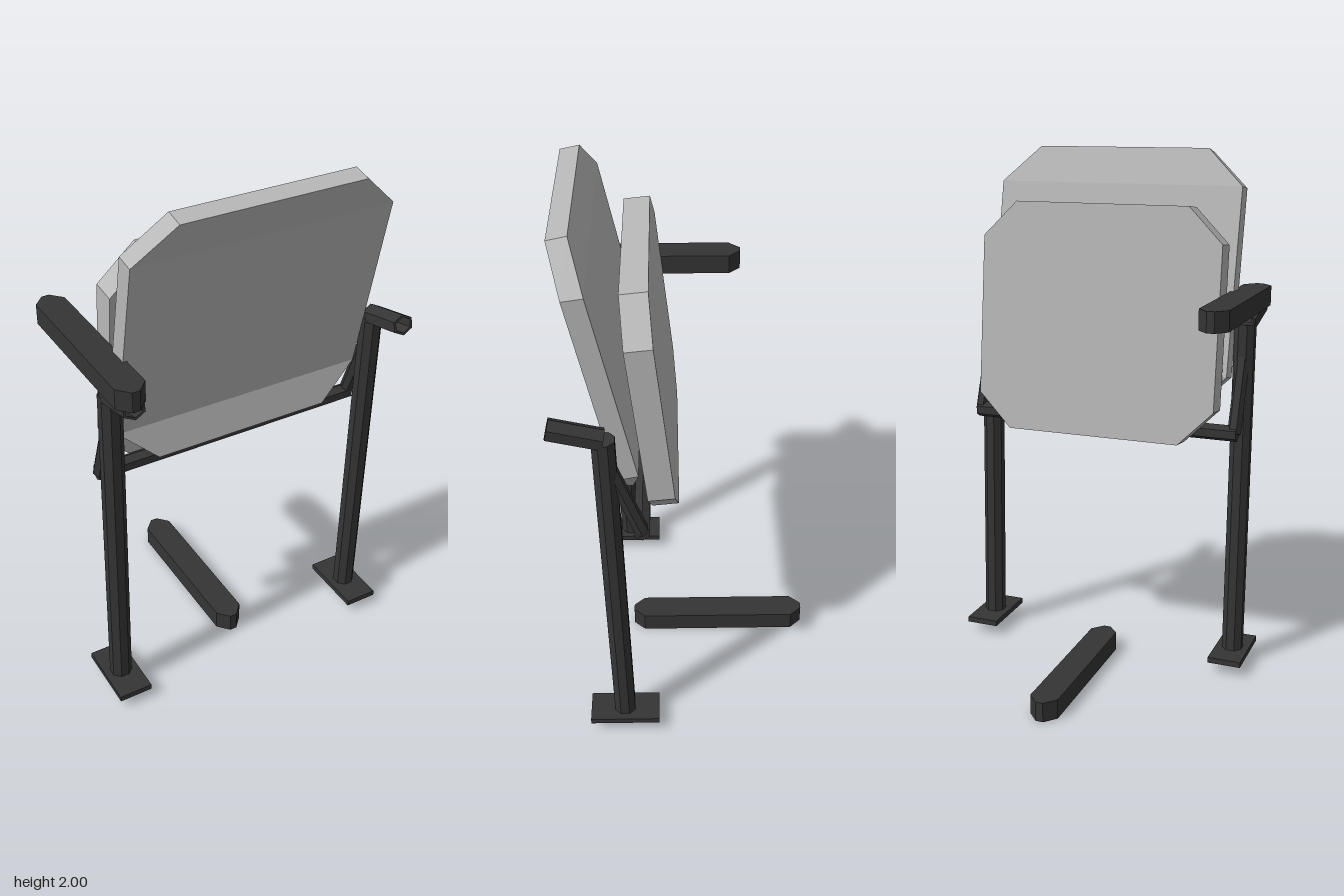
import * as THREE from 'three';

const grey = new THREE.MeshStandardMaterial({ color: 0xb8b8b8, flatShading: true });
grey.name = 'light grey shell';
const dark = new THREE.MeshStandardMaterial({ color: 0x353535, flatShading: true });
dark.name = 'dark frame';

function add(parent, name, geometry, material) {
  const mesh = new THREE.Mesh(geometry, material);
  mesh.name = name;
  parent.add(mesh);
  return mesh;
}

// Flat shape with four cut corners, extruded along z and centred
function cutCornerSlab(hw, hh, tip, cut, depth) {
  const s = new THREE.Shape([
    [tip, -hh], [hw, -hh + cut], [hw, hh - cut], [tip, hh],
    [-tip, hh], [-hw, hh - cut], [-hw, -hh + cut], [-tip, -hh],
  ].map(([x, y]) => new THREE.Vector2(x, y)));
  return new THREE.ExtrudeGeometry(s, { depth, bevelEnabled: false }).translate(0, 0, -depth / 2);
}

// Solid made from rows, top to bottom: [half width, front y, front z, back y, back z]
function rowSolid(rows) {
  const pos = [];
  const loops = rows.map(([w, fy, fz, by, bz]) => [[w, fy, fz], [-w, fy, fz], [-w, by, bz], [w, by, bz]]);
  const quad = (a, b, c, d) => [a, b, c, a, c, d].forEach((p) => pos.push(...p));
  for (let r = 0; r < loops.length - 1; r++) {
    const t = loops[r], l = loops[r + 1];
    for (let i = 0; i < 4; i++) {
      const j = (i + 1) % 4;
      quad(t[i], t[j], l[j], l[i]);
    }
  }
  const top = loops[0], end = loops[loops.length - 1];
  quad(top[3], top[2], top[1], top[0]);
  quad(end[0], end[1], end[2], end[3]);
  const g = new THREE.BufferGeometry();
  g.setAttribute('position', new THREE.Float32BufferAttribute(pos, 3));
  g.computeVertexNormals();
  return g;
}

// Straight faceted bar between two points
function bar(parent, name, from, to, radius, sides) {
  const a = new THREE.Vector3(...from), b = new THREE.Vector3(...to);
  const dir = b.clone().sub(a);
  const g = new THREE.CylinderGeometry(radius, radius, dir.length(), sides, 1);
  g.rotateY(Math.PI / sides);
  const m = add(parent, name, g, dark);
  m.position.copy(a).add(b).multiplyScalar(0.5);
  m.quaternion.setFromUnitVectors(new THREE.Vector3(0, 1, 0), dir.normalize());
  return m;
}

// Open hexagonal pipe along +z
function hexPipe(length) {
  const ring = (r) => Array.from({ length: 6 }, (_, i) => {
    const a = Math.PI / 2 + (i * Math.PI) / 3;
    return new THREE.Vector2(Math.cos(a) * r, Math.sin(a) * r * 0.86);
  });
  const s = new THREE.Shape(ring(0.044));
  s.holes.push(new THREE.Path(ring(0.034)));
  return new THREE.ExtrudeGeometry(s, { depth: length, bevelEnabled: false });
}

export function createModel() {
  const chair = new THREE.Group();
  chair.name = 'foldingSeat';

  // Bent backrest
  add(chair, 'backrest', rowSolid([
    [0.34, 1.985, 0.433, 2.0, 0.364],
    [0.485, 1.855, 0.386, 1.866, 0.314],
    [0.485, 1.163, 0.237, 1.178, 0.165],
    [0.34, 1.03, 0.261, 1.02, 0.19],
  ]), grey);

  // Folded-up seat
  const seat = add(chair, 'seat', cutCornerSlab(0.472, 0.436, 0.34, 0.132, 0.095), grey);
  seat.position.set(0, 1.366, 0.122);
  seat.rotation.x = 0.108;

  // Legs, feet, arm pipes and stays
  for (const side of [1, -1]) {
    const x = side * 0.523;
    const frame = new THREE.Group();
    frame.name = side > 0 ? 'leftFrame' : 'rightFrame';
    chair.add(frame);
    bar(frame, 'leg', [x, 0.055, 0.241], [x, 1.365, 0.276], 0.042, 8);
    add(frame, 'foot', new THREE.BoxGeometry(0.13, 0.022, 0.262), dark).position.set(x, 0.054, 0.241);
    const pipe = add(frame, 'armPipe', hexPipe(0.185), dark);
    pipe.position.set(x, 1.366, 0.276);
    pipe.rotation.x = -0.237;
    bar(frame, 'stay', [x, 1.25, 0.26], [x, 0.967, 0.155], 0.026, 6);
  }

  // Bar joining the stays beneath the seat
  bar(chair, 'crossbar', [-0.535, 0.968, 0.157], [0.535, 0.968, 0.157], 0.031, 6);

  // Armrest and the matching loose one on the floor
  const pads = [['armrest', -0.525, 1.451, 0.13], ['floorArmrest', 0, 0.038, -0.135]];
  for (const [name, x, y, z] of pads) {
    const g = cutCornerSlab(0.054, 0.35, 0.014, 0.044, 0.075).rotateX(-Math.PI / 2);
    add(chair, name, g, dark).position.set(x, y, z);
  }
  return chair;
}
